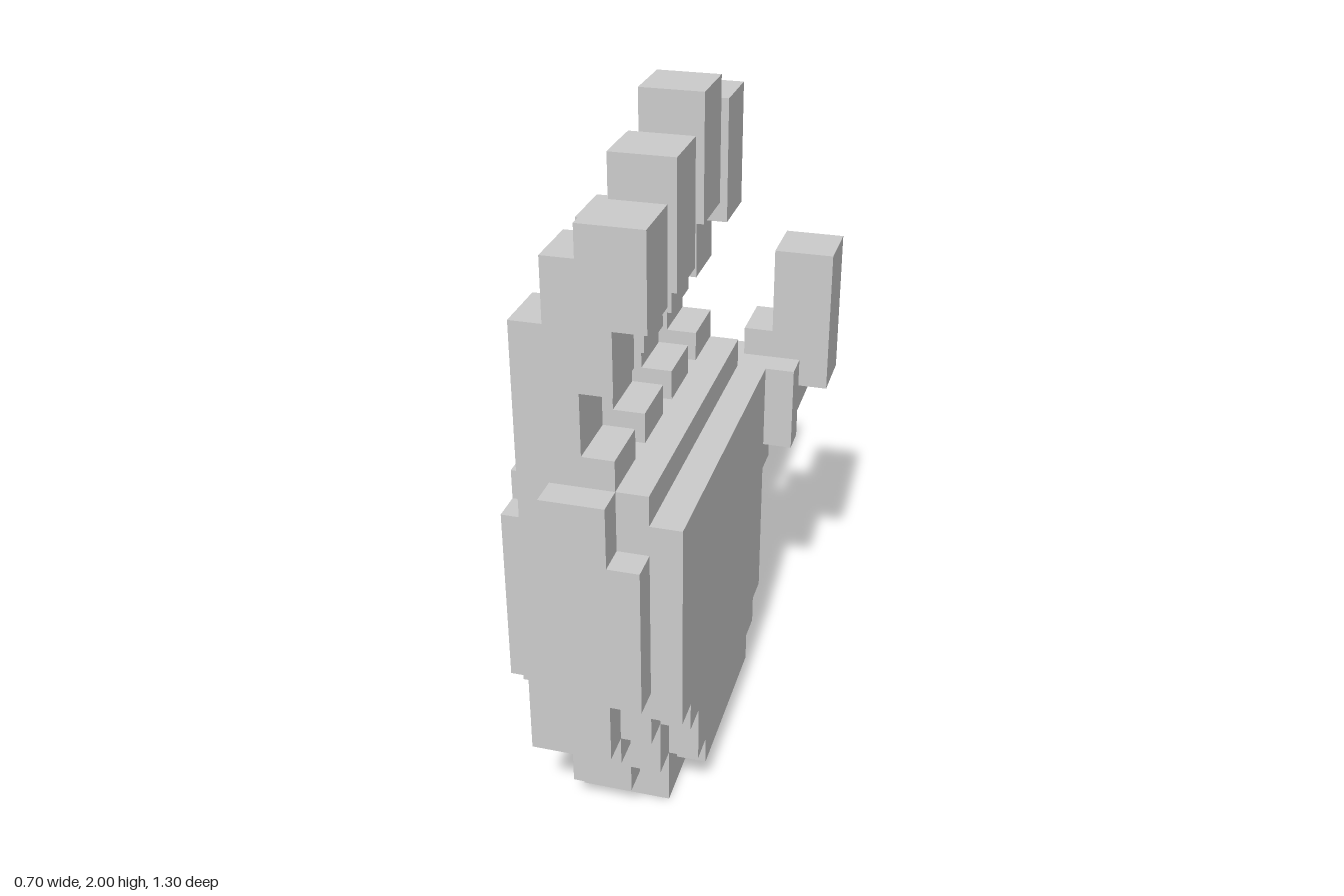
import * as THREE from 'three';

// One block is 1/23 of the height; the grid is 8 wide, 23 high and 15 deep.
const U = 2 / 23;
const material = new THREE.MeshStandardMaterial({ color: 0xcccccc, flatShading: true });

// Adds a block spanning grid lines x0..x1, y0..y1, z0..z1.
function block(parent, name, [x0, x1], [y0, y1], [z0, z1]) {
  const mesh = new THREE.Mesh(
    new THREE.BoxGeometry((x1 - x0) * U, (y1 - y0) * U, (z1 - z0) * U), material);
  mesh.position.set(((x0 + x1) / 2 - 4) * U, (y0 + y1) / 2 * U, ((z0 + z1) / 2 - 7.5) * U);
  mesh.name = name;
  parent.add(mesh);
}

// Adds a group built from a list of [x range, y range, z range] blocks.
function part(root, name, blocks) {
  const group = new THREE.Group();
  group.name = name;
  blocks.forEach(([x, y, z]) => block(group, name + 'Block', x, y, z));
  root.add(group);
}

export function createModel() {
  const hand = new THREE.Group();
  hand.name = 'hand';

  // Core of the palm, narrowing in steps to the wrist
  part(hand, 'palmCore', [
    [[2, 5], [4, 13], [3, 14]],
    [[2, 4], [3, 4], [3, 14]],
    [[4, 5], [3, 4], [3, 13]],
    [[2, 5], [2, 3], [3, 13]],
    [[2, 4], [1, 2], [4, 13]],
    [[4, 5], [1, 2], [4, 12]],
  ]);
  part(hand, 'wrist', [[[2, 5], [0, 1], [5, 12]]]);

  // Inner palm pad
  part(hand, 'palmPad', [
    [[5, 6], [5, 12], [3, 14]],
    [[5, 6], [4, 5], [3, 13]],
    [[5, 6], [3, 4], [3, 12]],
    [[5, 6], [2, 3], [4, 12]],
    [[5, 6], [1, 2], [5, 11]],
  ]);

  // Back of the hand: a base layer and a raised plate
  part(hand, 'handBack', [
    [[1, 2], [4, 13], [3, 14]],
    [[1, 2], [3, 4], [4, 14]],
    [[1, 2], [2, 3], [5, 12]],
  ]);
  part(hand, 'backPlate', [
    [[0, 1], [4, 12], [6, 12]],
    [[0, 1], [5, 12], [5, 6]],
    [[0, 1], [6, 11], [4, 5]],
    [[0, 1], [5, 11], [12, 13]],
  ]);

  // Outer edge of the palm
  part(hand, 'outerEdge', [
    [[2, 4], [4, 13], [14, 15]],
    [[4, 5], [6, 11], [14, 15]],
  ]);

  // Four curled fingers: z start, tip height, knuckle height, tip underside
  const fingers = [
    ['indexFinger', 3, 22, 20, 18],
    ['middleFinger', 6, 23, 21, 19],
    ['ringFinger', 9, 22, 20, 18],
    ['littleFinger', 12, 21, 20, 18],
  ];
  for (const [name, z, top, knuckle, under] of fingers) {
    const zs = [z, z + 2];
    part(hand, name, [
      [[1, 4], [13, 14], zs],
      [[1, 3], [14, 16], zs],
      [[1, 4], [16, 18], zs],
      [[2, 4], [18, knuckle], zs],
      [[3, 5], [under, top], zs],
    ]);
  }

  // Thumb, stepping outward from the palm edge to an upright tip
  part(hand, 'thumbBase', [
    [[2, 3], [4, 11], [2, 3]],
    [[3, 5], [3, 12], [2, 3]],
    [[5, 6], [8, 9], [2, 3]],
    [[5, 7], [9, 12], [2, 3]],
    [[3, 4], [7, 10], [1, 2]],
    [[4, 5], [9, 12], [1, 2]],
  ]);
  part(hand, 'thumbJoint', [[[5, 7], [10, 13], [0, 2]]]);
  part(hand, 'thumbTip', [[[6, 8], [11, 16], [0, 2]]]);

  return hand;
}
